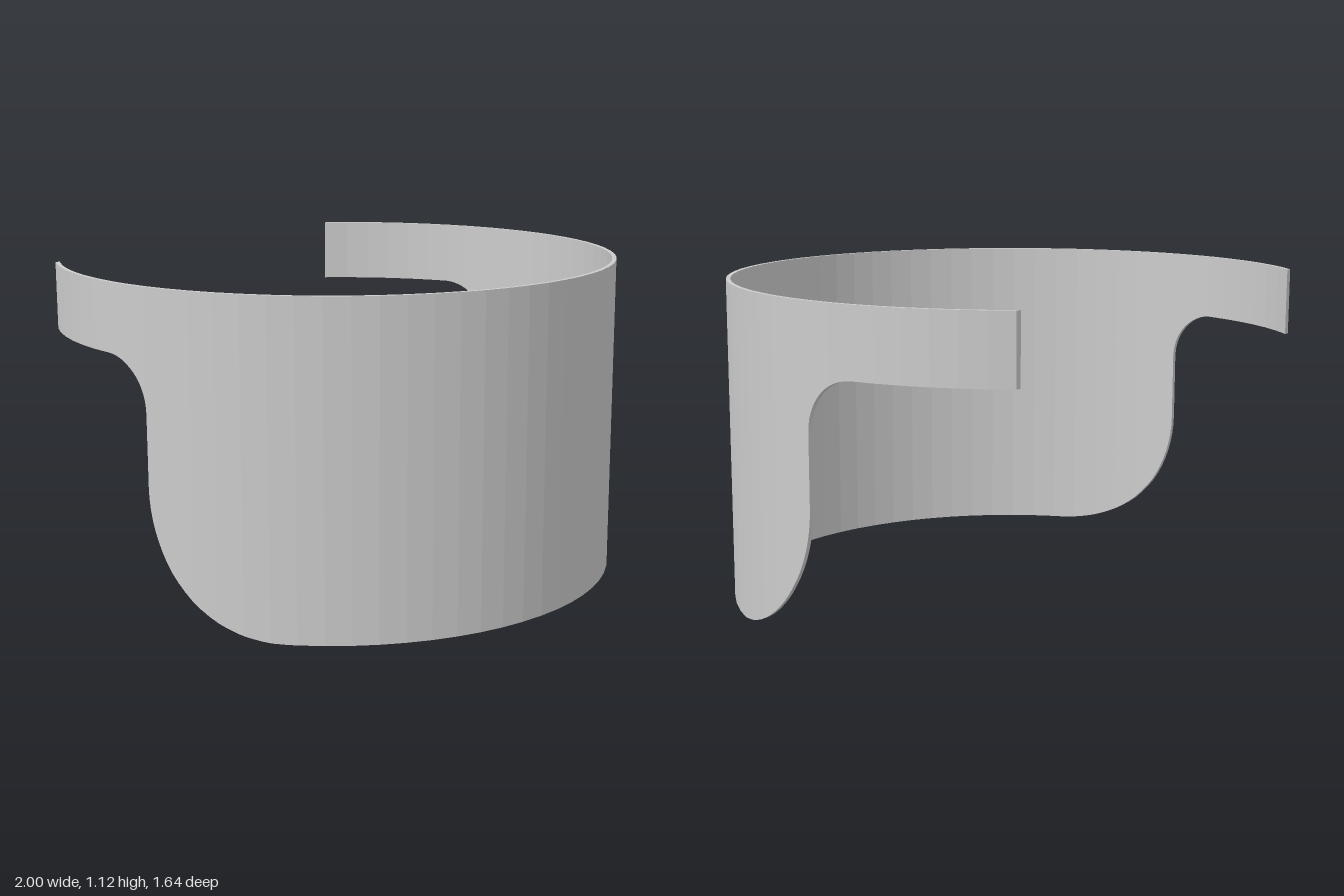
import * as THREE from 'three';

const ZC = -0.18, R_OUT = 1, R_IN = 0.985, TOP = 1.12, BACK = 0.64;
const LOW_R = 0.47, FILLET_R = 0.178, BAND_Y = 0.888;
const STEP = Math.PI / 36;

// Bottom edge height, v = distance in front of the ring centre
function lowerEdge(v) {
  if (v >= LOW_R) return 0;
  return LOW_R - Math.sqrt(Math.max(0, LOW_R ** 2 - (LOW_R - Math.max(0, v)) ** 2));
}
function bandEdge(v) {
  const u = Math.max(0, -v);
  if (u >= FILLET_R) return BAND_Y;
  return BAND_Y - FILLET_R + Math.sqrt(Math.max(0, FILLET_R ** 2 - (FILLET_R - u) ** 2));
}

// Point on a faceted circle
function ringPoint(a, r) {
  const local = a - Math.floor(a / STEP + 1e-9) * STEP - STEP / 2;
  const k = r * Math.cos(STEP / 2) / Math.cos(local);
  return [k * Math.sin(a), k * Math.cos(a)];
}

// One wall section: outer/inner, bottom/top corners
function column(outer, inner, edge) {
  const p = ([x, v], y) => new THREE.Vector3(x, y, v + ZC);
  return {
    ob: p(outer, edge(outer[1])), ot: p(outer, TOP),
    ib: p(inner, edge(inner[1])), it: p(inner, TOP),
  };
}

function halfColumns() {
  const end = Math.acos(-BACK), angles = [];
  for (let i = 0; i * STEP < end - 0.01; i++) angles.push(i * STEP);
  // extra sections where the bottom edge curves
  for (let i = 0; i <= 20; i++) {
    const t = (i / 20) * Math.PI / 2;
    angles.push(Math.acos(LOW_R * (1 - Math.sin(t))));
    angles.push(Math.acos(-FILLET_R * (1 - Math.cos(t))));
  }
  angles.sort((a, b) => a - b);
  const at = (a, edge) => column(ringPoint(a, R_OUT), ringPoint(a, R_IN), edge);
  const mid = Math.PI / 2, cols = [];
  let last = -1;
  for (const a of angles) {
    if (a - last < 0.0008 || a > mid - 0.0008) continue;
    cols.push(at(a, lowerEdge));
    last = a;
  }
  // straight upright edge at the widest point
  cols.push(column([R_OUT, 0], [R_IN, 0], lowerEdge), column([R_OUT, 0], [R_IN, 0], bandEdge));
  last = mid;
  for (const a of angles) {
    if (a - last < 0.0008) continue;
    cols.push(at(a, bandEdge));
    last = a;
  }
  // flat cut at the back
  const cut = r => [Math.sqrt(r * r - BACK * BACK), -BACK];
  cols.push(column(cut(R_OUT), cut(R_IN), bandEdge));
  return cols;
}

function wallGeometry() {
  const half = halfColumns();
  const flip = c => Object.fromEntries(
    Object.entries(c).map(([k, p]) => [k, new THREE.Vector3(-p.x, p.y, p.z)]));
  const cols = [...half.slice(1).reverse().map(flip), ...half];
  const pos = [];
  const quad = (a, b, c, d) => {
    for (const p of [a, b, c, a, c, d]) pos.push(p.x, p.y, p.z);
  };
  for (let i = 0; i < cols.length - 1; i++) {
    const a = cols[i], b = cols[i + 1];
    quad(a.ib, b.ib, b.ob, a.ob);
    if (a.ot.distanceTo(b.ot) < 1e-6) continue;
    quad(a.ob, b.ob, b.ot, a.ot);
    quad(b.ib, a.ib, a.it, b.it);
    quad(a.ot, b.ot, b.it, a.it);
  }
  // end faces
  const s = cols[0], e = cols[cols.length - 1];
  quad(e.ob, e.ib, e.it, e.ot);
  quad(s.ib, s.ob, s.ot, s.it);
  const g = new THREE.BufferGeometry();
  g.setAttribute('position', new THREE.Float32BufferAttribute(pos, 3));
  g.computeVertexNormals();
  return g;
}

export function createModel() {
  const group = new THREE.Group();
  group.name = 'openCuff';
  const material = new THREE.MeshStandardMaterial({
    color: 0xcccccc, flatShading: true, side: THREE.DoubleSide,
  });
  const wall = new THREE.Mesh(wallGeometry(), material);
  wall.name = 'curvedWall';
  group.add(wall);
  return group;
}
